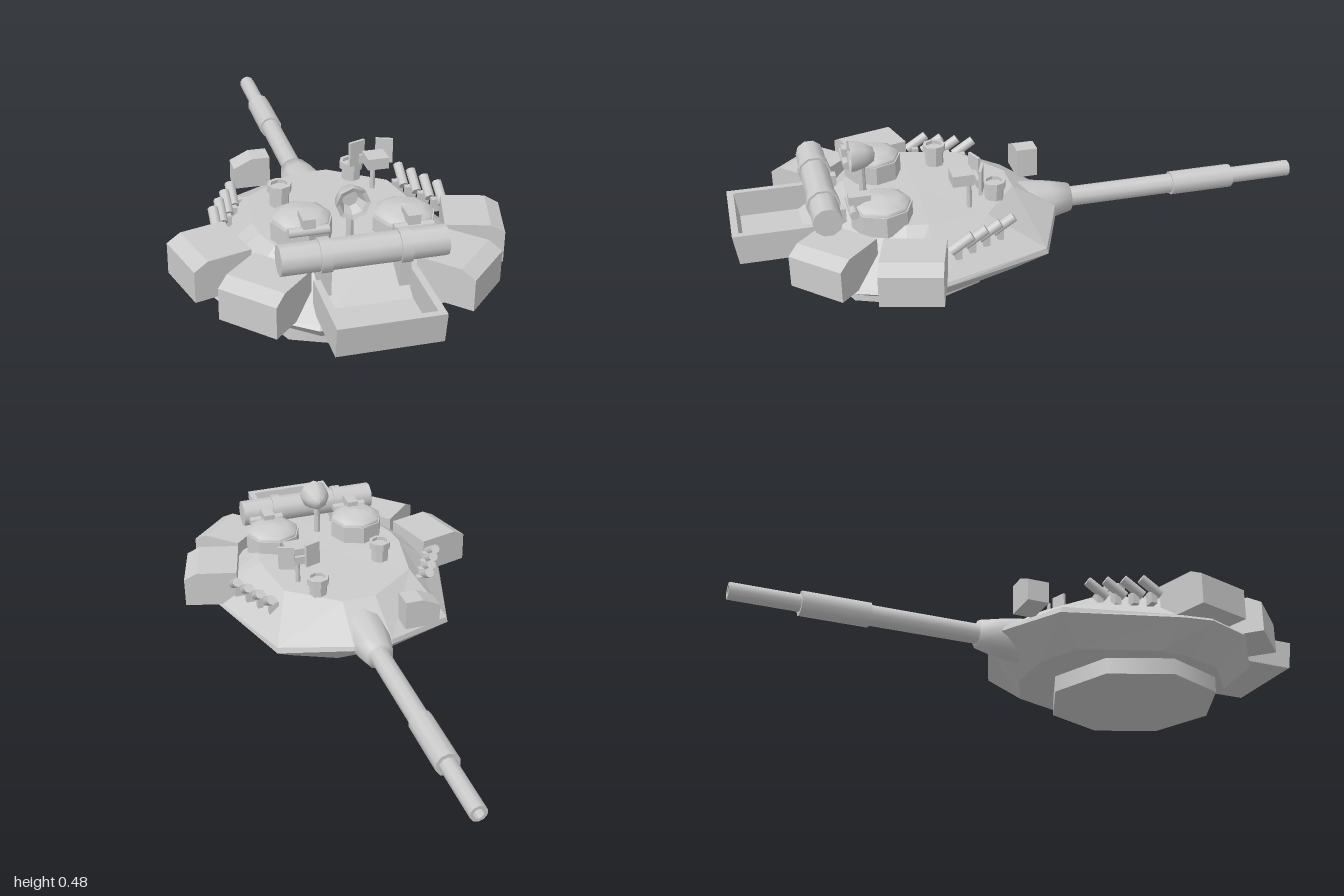
import * as THREE from 'three';

const smooth = new THREE.MeshStandardMaterial({ color: 0xcccccc, side: THREE.DoubleSide });
const flat = new THREE.MeshStandardMaterial({ color: 0xcccccc, flatShading: true, side: THREE.DoubleSide });

function add(parent, name, geometry, x = 0, y = 0, z = 0, material = flat) {
  const mesh = new THREE.Mesh(geometry, material);
  mesh.name = name;
  mesh.position.set(x, y, z);
  parent.add(mesh);
  return mesh;
}

const box = (w, h, d) => new THREE.BoxGeometry(w, h, d);
const rod = (r, len, sides = 8, open = false) => new THREE.CylinderGeometry(r, r, len, sides, 1, open);
const points = list => list.map(p => new THREE.Vector2(...p));
const lathe = (list, sides) => new THREE.LatheGeometry(points(list), sides);
const prism = (list, depth) => new THREE.ExtrudeGeometry(new THREE.Shape(points(list)), { depth, bevelEnabled: false });

// Faceted shell: mirrored half outlines [x, y, z], lowest first, joined and capped
function shell(halves) {
  const rings = halves.map(h => [...h, ...h.slice().reverse().map(([x, y, z]) => [-x, y, z])]);
  const n = rings[0].length, pos = [];
  const tri = (...c) => c.forEach(p => pos.push(...p));
  const centre = r => [0, r.reduce((s, p) => s + p[1], 0) / n, r.reduce((s, p) => s + p[2], 0) / n];
  const low = rings[0], top = rings[rings.length - 1];
  for (let i = 0; i < n; i++) {
    const j = (i + 1) % n;
    for (let k = 0; k + 1 < rings.length; k++) {
      const a = rings[k], b = rings[k + 1];
      tri(a[i], b[i], a[j]);
      tri(a[j], b[i], b[j]);
    }
    tri(centre(low), low[i], low[j]);
    tri(centre(top), top[j], top[i]);
  }
  const g = new THREE.BufferGeometry();
  g.setAttribute('position', new THREE.Float32BufferAttribute(pos, 3));
  g.computeVertexNormals();
  return g;
}

// Stowage bin with a chamfered outer top edge, local +z pointing outward
function binGeometry() {
  const g = prism([[-0.19, 0.15], [0, 0.15], [0, 0.255], [-0.046, 0.28], [-0.19, 0.28]], 0.2);
  return g.rotateY(-Math.PI / 2).translate(0.1, 0, 0);
}

function hatch(parent, name, x, z, r, base, rim, top) {
  const g = new THREE.Group();
  g.name = name;
  g.position.set(x, 0, z);
  add(g, 'hatchRing', rod(r, rim - base), 0, (base + rim) / 2, 0);
  add(g, 'hatchLid', lathe([[r * 0.95, rim], [r * 0.93, rim + 0.012], [r * 0.62, top - 0.008], [0, top]], 8), 0, 0, 0, smooth);
  // Hinge behind the lid
  add(g, 'hingePin', rod(0.015, 0.125).rotateZ(Math.PI / 2), 0, rim + 0.005, r - 0.005, smooth);
  add(g, 'hingeArm', box(0.04, 0.045, 0.07), 0, top - 0.01, r - 0.03);
  parent.add(g);
}

function periscope(parent, x, y, z) {
  const g = lathe([[0.032, y - 0.075], [0.032, y - 0.025], [0.04, y - 0.025], [0.04, y], [0.028, y], [0.028, y - 0.012], [0, y - 0.012]], 8);
  add(parent, 'periscope', g, x, 0, z);
}

export function createModel() {
  const root = new THREE.Group();
  root.name = 'turret';
  const body = new THREE.Group();
  body.name = 'turretBody';
  body.position.x = -0.006;
  root.add(body);

  // Ring base and faceted armour shell
  add(body, 'turretRing', rod(0.297, 0.08), 0, 0.04, 0.425, smooth);
  add(body, 'armourShell', shell([
    [[0.09, 0.056, 0.03], [0.24, 0.056, 0.1], [0.335, 0.056, 0.36], [0.325, 0.056, 0.48], [0.28, 0.056, 0.6], [0.13, 0.056, 0.72]],
    [[0.07, 0.16, -0.095], [0.315, 0.14, 0.005], [0.434, 0.14, 0.39], [0.45, 0.14, 0.49], [0.39, 0.14, 0.65], [0.16, 0.14, 0.815]],
    [[0.07, 0.175, -0.09], [0.313, 0.16, 0.01], [0.428, 0.152, 0.39], [0.442, 0.152, 0.49], [0.383, 0.152, 0.645], [0.155, 0.152, 0.805]],
    [[0.06, 0.268, 0.06], [0.235, 0.272, 0.19], [0.268, 0.283, 0.39], [0.26, 0.284, 0.46], [0.23, 0.285, 0.55], [0.1, 0.284, 0.615]],
  ]));

  // Gun: mantlet, stepped barrel and hollow muzzle, pointing to -z
  const gun = new THREE.Group();
  gun.name = 'gun';
  gun.position.y = 0.165;
  gun.rotation.x = -Math.PI / 2;
  body.add(gun);
  add(gun, 'mantlet', lathe([[0.085, -0.05], [0.078, 0.02], [0.066, 0.09], [0.05, 0.16], [0, 0.165]], 10), 0, 0, 0, smooth);
  add(gun, 'barrel', rod(0.035, 0.42, 10), 0, 0.35, 0, smooth);
  add(gun, 'barrelSleeve', rod(0.042, 0.23, 10), 0, 0.655, 0, smooth);
  add(gun, 'muzzle', rod(0.029, 0.24, 10, true), 0, 0.88, 0, smooth);
  add(gun, 'muzzleBore', lathe([[0, 0.9], [0.018, 0.9], [0.018, 1], [0.029, 1]], 10));

  // Mirrored stowage bins and smoke launchers
  for (const side of [1, -1]) {
    const half = new THREE.Group();
    half.name = side > 0 ? 'leftSide' : 'rightSide';
    half.position.x = 0.006;
    half.scale.x = side;
    body.add(half);
    add(half, 'sideBin', binGeometry(), 0.517, 0, 0.498).rotation.y = 1.3;
    add(half, 'cornerBin', binGeometry(), 0.368, 0, 0.768).rotation.y = 0.79;
    for (let i = 0; i < 4; i++) {
      const x = 0.292 + i * 0.028, z = 0.153 + i * 0.052;
      add(half, 'smokeLauncher', rod(0.017, 0.085).rotateX(-1), x, 0.264, z, smooth);
      add(half, 'launcherBracket', box(0.035, 0.045, 0.022), x - 0.015, 0.23, z + 0.01);
    }
  }

  // Rear basket: three walls around a floor, its front open against the armour
  const rim = [[-0.16, 0.74], [-0.138, 0.74], [-0.138, 0.978], [0.138, 0.978], [0.138, 0.74], [0.16, 0.74], [0.16, 1], [-0.16, 1]];
  const walls = prism(rim, 0.1).rotateX(Math.PI / 2);
  // Rear wall leans in slightly toward the floor
  const p = walls.attributes.position;
  for (let i = 0; i < p.count; i++) if (p.getY(i) < -0.05 && p.getZ(i) > 0.9) p.setZ(i, p.getZ(i) - 0.015);
  add(body, 'basketWalls', walls, 0, 0.267, 0);
  add(body, 'basketFloor', box(0.318, 0.012, 0.23), 0, 0.172, 0.868);

  // Snorkel tube with two straps across the rear
  add(body, 'snorkelTube', rod(0.048, 0.51, 10).rotateZ(Math.PI / 2), 0, 0.327, 0.705, smooth);
  for (const x of [-0.12, 0.123]) {
    add(body, 'tubeStrap', rod(0.055, 0.034, 10).rotateZ(Math.PI / 2), x, 0.327, 0.705, smooth);
    add(body, 'strapBracket', box(0.034, 0.1, 0.1), x, 0.255, 0.685);
  }

  // Roof hatches
  hatch(body, 'rightHatch', -0.137, 0.505, 0.097, 0.27, 0.345, 0.38);
  hatch(body, 'leftHatch', 0.183, 0.525, 0.1, 0.26, 0.33, 0.365);

  // Searchlight: rounded shell and recessed reflector facing +z, on a post
  const lamp = new THREE.Group();
  lamp.name = 'searchlight';
  lamp.position.set(0, 0.422, 0.597);
  lamp.rotation.x = Math.PI / 2;
  body.add(lamp);
  add(lamp, 'lampShell', lathe([[0, -0.085], [0.025, -0.078], [0.043, -0.05], [0.053, -0.015], [0.054, 0]], 8), 0, 0, 0, smooth);
  add(lamp, 'lampReflector', lathe([[0, -0.04], [0.026, -0.04], [0.04, -0.005], [0.054, 0]], 8));
  add(body, 'searchlightPost', rod(0.012, 0.11), 0, 0.33, 0.56);

  // Periscopes and shielded sight
  periscope(body, 0.125, 0.335, 0.14);
  periscope(body, -0.155, 0.355, 0.285);
  add(body, 'sightPost', rod(0.009, 0.12), 0.171, 0.32, 0.235);
  add(body, 'sightBox', box(0.07, 0.038, 0.07), 0.172, 0.388, 0.26);
  for (const s of [-1, 1]) {
    add(body, 'sightShield', box(0.058, 0.085, 0.01), 0.171 + s * 0.047, 0.392, 0.205).rotation.y = -s * 0.35;
  }
  add(body, 'shieldBar', box(0.08, 0.03, 0.012), 0.171, 0.372, 0.21);

  // Front box with one sloping top edge
  const frontBox = prism([[-0.0625, 0.2], [0.0625, 0.2], [0.0625, 0.305], [0, 0.305], [-0.0625, 0.275]], 0.075);
  add(body, 'frontBox', frontBox, -0.185, 0, -0.08);

  return root;
}
